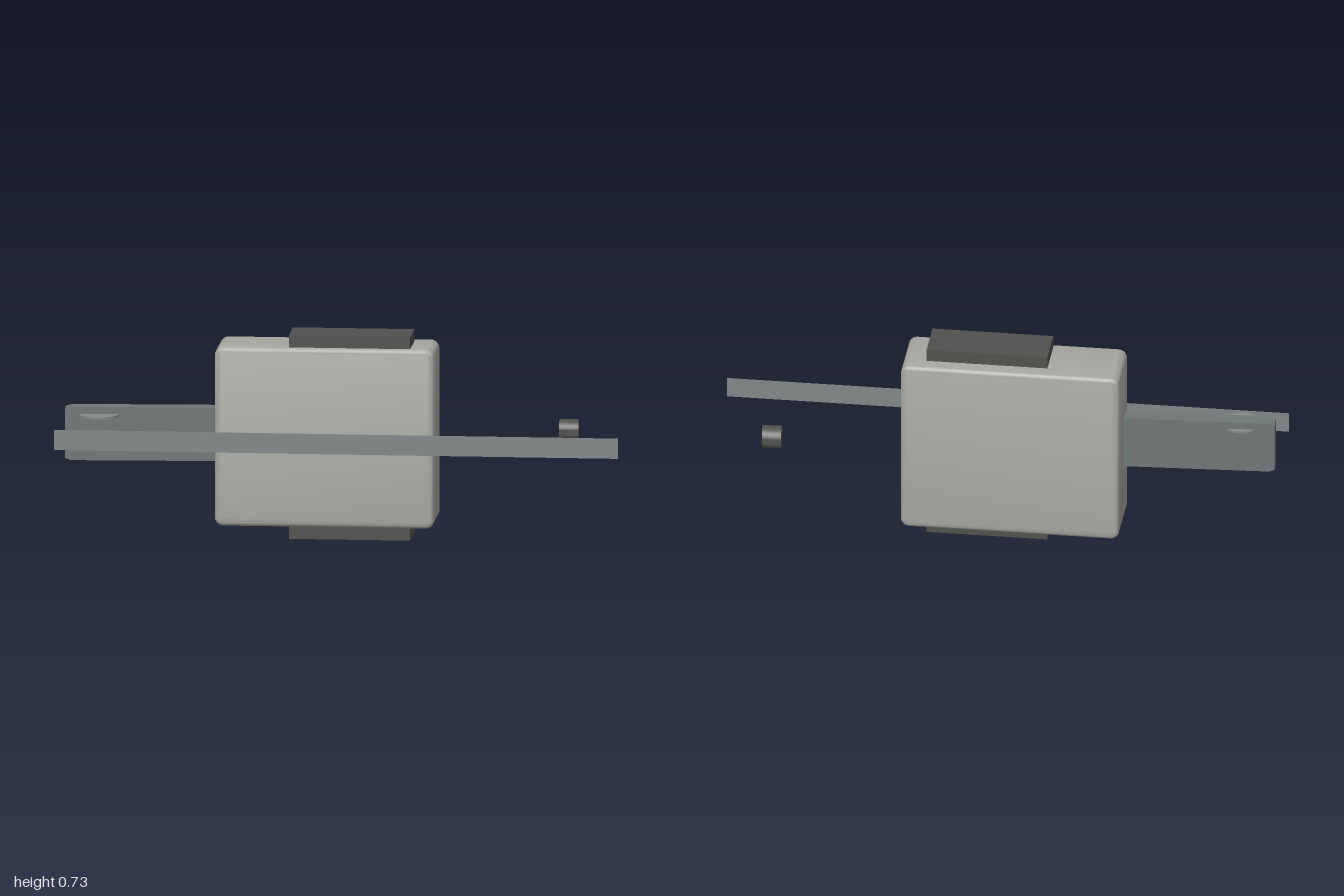
import * as THREE from 'three';
import { toCreasedNormals } from 'three/addons/utils/BufferGeometryUtils.js';

function addPart(group, name, geometry, color, x, y, z) {
  const mesh = new THREE.Mesh(geometry, new THREE.MeshStandardMaterial({ color }));
  mesh.name = name;
  mesh.position.set(x, y, z);
  group.add(mesh);
  return mesh;
}

function roundedRect(w, h, r) {
  const s = new THREE.Shape();
  const corners = [[1, 1, 0], [-1, 1, 1], [-1, -1, 2], [1, -1, 3]];
  for (const [sx, sy, q] of corners) {
    s.absarc(sx * (w / 2 - r), sy * (h / 2 - r), r, q * Math.PI / 2, (q + 1) * Math.PI / 2, false);
  }
  return s;
}

export function createModel() {
  const group = new THREE.Group();
  const dark = 0x50524e, steel = 0x707877;

  // Main case: rounded outline with a small soft bevel front and back
  const depth = 0.242, bevelT = 0.013, bevelS = 0.016;
  const caseGeo = new THREE.ExtrudeGeometry(
    roundedRect(0.776 - 2 * bevelS, 0.64 - 2 * bevelS, 0.014), {
      depth: depth - 2 * bevelT, bevelEnabled: true,
      bevelThickness: bevelT, bevelSize: bevelS, bevelSegments: 4, curveSegments: 5,
    });
  caseGeo.translate(0, 0, -depth / 2 + bevelT);
  addPart(group, 'case', toCreasedNormals(caseGeo, 0.6), 0xa6a7a1, -0.053, 0.366, -0.044);

  // Pads on the top and bottom of the case
  for (const [name, y] of [['bottomPad', 0.03], ['topPad', 0.7]]) {
    addPart(group, name, new THREE.BoxGeometry(0.43, 0.06, 0.16), dark, 0.035, y, -0.027);
  }

  // Slightly angled side arm with clipped outer corners
  const arm = new THREE.Shape();
  arm.moveTo(0.3, -0.096);
  arm.lineTo(0.3, 0.096);
  arm.lineTo(-0.25, 0.096);
  arm.lineTo(-0.272, 0.089);
  arm.lineTo(-0.272, -0.089);
  arm.lineTo(-0.25, -0.096);
  const armGeo = new THREE.ExtrudeGeometry(arm, { depth: 0.055, bevelEnabled: false });
  armGeo.translate(0, 0, -0.0275);
  addPart(group, 'sideArm', armGeo, steel, -0.702, 0.366, 0.014).rotation.y = 0.054;

  // Thumb disc set into the arm
  addPart(group, 'thumbDisc', toCreasedNormals(new THREE.CylinderGeometry(0.071, 0.071, 0.008, 32), 0.6),
    0x858c8a, -0.853, 0.432, 0.047);

  // Long thin strip in front
  addPart(group, 'frontStrip', new THREE.BoxGeometry(2, 0.072, 0.003), 0x7f8887, 0, 0.366, 0.1945);

  // Small detached knob, its axis nearly along x
  const knobGeo = toCreasedNormals(new THREE.CylinderGeometry(0.041, 0.041, 0.068, 32), 0.6);
  knobGeo.rotateZ(Math.PI / 2);
  addPart(group, 'knob', knobGeo, dark, 0.794, 0.367, -0.153).rotation.y = 0.075;

  return group;
}
